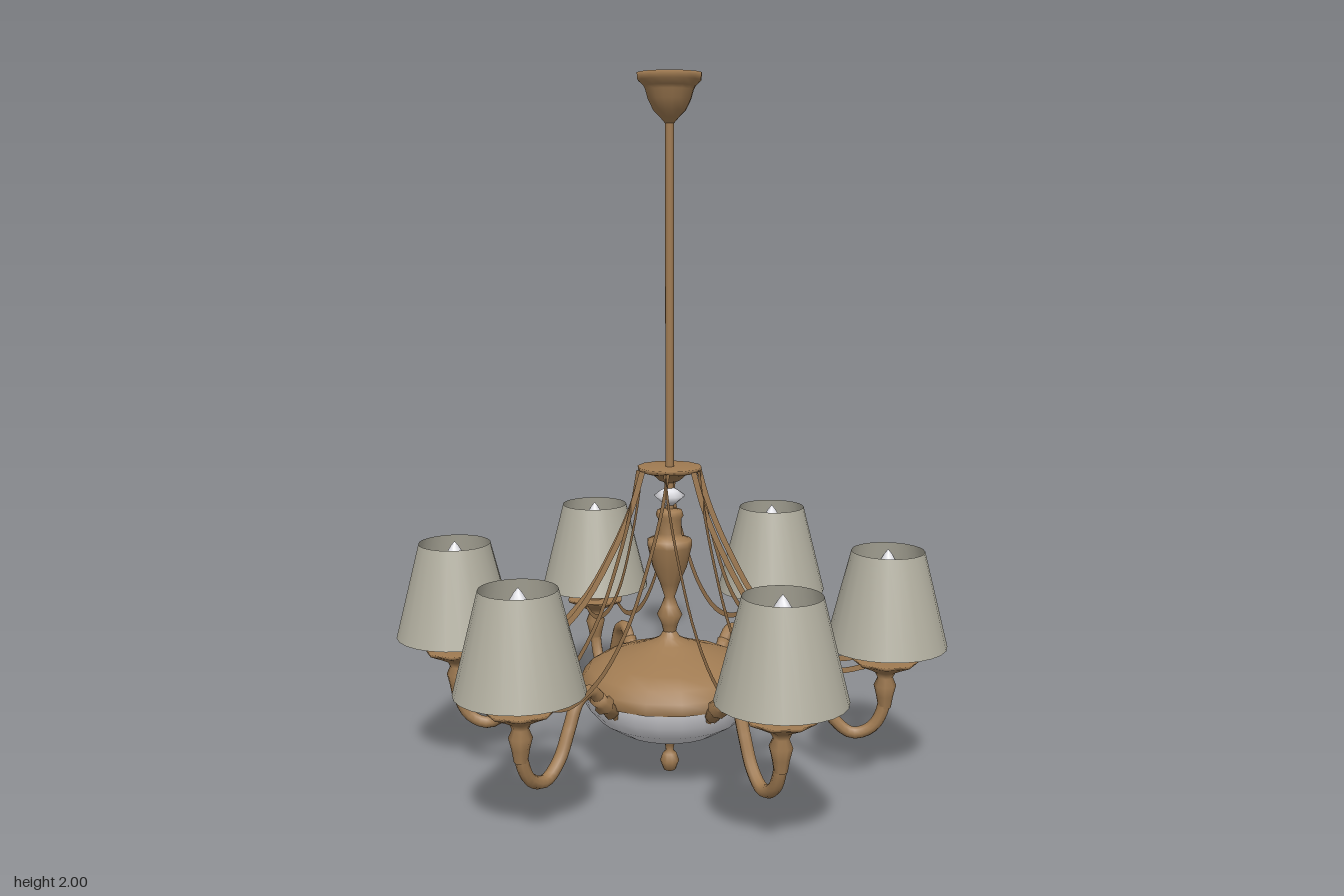
import * as THREE from 'three';

const mat = (name, color, side = THREE.FrontSide) => {
  const m = new THREE.MeshStandardMaterial({ color, side });
  m.name = name;
  return m;
};

export function createModel() {
  const bronze = mat('bronze', 0xa07b52);
  const bronzeThin = mat('bronze', 0xa07b52, THREE.DoubleSide);
  const fabric = mat('shade fabric', 0xb2afa0, THREE.DoubleSide);
  const glass = mat('white glass', 0xe0e0e5);

  const model = new THREE.Group();
  model.name = 'chandelier';
  const body = new THREE.Group();
  body.name = 'body';
  body.position.z = -0.015;
  model.add(body);

  const add = (parent, name, geometry, material) => {
    const mesh = new THREE.Mesh(geometry, material);
    mesh.name = name;
    parent.add(mesh);
    return mesh;
  };
  // profile: [radius, height] pairs from bottom to top
  const lathe = (profile, sides) =>
    new THREE.LatheGeometry(profile.map(([r, y]) => new THREE.Vector2(r, y)), sides);

  // Central column, from the lowest finial to the ceiling
  add(body, 'finial', lathe([[0, 0], [0.018, 0.008], [0.028, 0.035], [0.02, 0.058], [0.011, 0.066],
    [0.014, 0.085], [0.026, 0.1], [0.03, 0.12]], 10), bronze);
  add(body, 'glassBowl', lathe([[0, 0.115], [0.08, 0.122], [0.15, 0.142], [0.21, 0.18],
    [0.245, 0.22], [0.257, 0.265]], 24), glass);
  add(body, 'dome', lathe([[0.25, 0.258], [0.262, 0.262], [0.26, 0.295], [0.235, 0.325], [0.19, 0.35],
    [0.12, 0.373], [0.1, 0.38], [0.06, 0.395], [0.03, 0.41], [0.018, 0.43]], 16), bronze);
  add(body, 'vase', lathe([[0.018, 0.425], [0.024, 0.45], [0.037, 0.478], [0.024, 0.505], [0.015, 0.53],
    [0.028, 0.57], [0.05, 0.62], [0.064, 0.68], [0.064, 0.7], [0.038, 0.708], [0.034, 0.72],
    [0.034, 0.76], [0.04, 0.77], [0.036, 0.785], [0.012, 0.79]], 12), bronze);
  add(body, 'glassDisc', lathe([[0.012, 0.8], [0.025, 0.81], [0.045, 0.828], [0.025, 0.843], [0.012, 0.85]], 12), glass);
  add(body, 'wireCap', lathe([[0.012, 0.865], [0.03, 0.872], [0.05, 0.89], [0.09, 0.9], [0.092, 0.912],
    [0.012, 0.912]], 12), bronze);
  const rod = add(body, 'rod', new THREE.CylinderGeometry(0.012, 0.012, 1.1, 10), bronze);
  rod.position.y = 1.33;
  add(body, 'canopy', lathe([[0.012, 1.865], [0.025, 1.88], [0.045, 1.9], [0.06, 1.93], [0.067, 1.955],
    [0.072, 1.965], [0.088, 1.98], [0.09, 2], [0.078, 1.985], [0.05, 1.94], [0.012, 1.9]], 16), bronzeThin);

  // Shared arm parts, built along +x
  const armPath = new THREE.CatmullRomCurve3([[0.235, 0.24], [0.3, 0.3], [0.35, 0.343], [0.4, 0.325],
    [0.435, 0.26], [0.475, 0.185], [0.53, 0.145], [0.585, 0.165], [0.615, 0.22], [0.62, 0.3]]
    .map(([x, y]) => new THREE.Vector3(x, y, 0)));
  const armGeo = new THREE.TubeGeometry(armPath, 36, 0.018, 8);
  const collarGeo = lathe([[0, -0.045], [0.022, -0.045], [0.02, -0.015], [0.03, 0], [0.02, 0.015],
    [0.024, 0.04], [0, 0.045]], 8);
  const cupGeo = lathe([[0.018, 0.225], [0.024, 0.26], [0.032, 0.292], [0.022, 0.315], [0.03, 0.332],
    [0.055, 0.345], [0.092, 0.362], [0.094, 0.37], [0.025, 0.366]], 8);
  const candleGeo = lathe([[0.025, 0.36], [0.025, 0.605], [0.037, 0.622], [0.037, 0.632], [0, 0.632]], 10);
  const bulbGeo = lathe([[0.034, 0.63], [0.03, 0.645], [0.012, 0.675], [0, 0.69]], 10);
  const shadeGeo = lathe([[0.172, 0.412], [0.103, 0.685]], 24);

  // Flat stay: an upright ribbon sweeping from the cap to the cup
  const stayGeo = (side) => {
    const curve = new THREE.CatmullRomCurve3([[0.075, 0.905], [0.105, 0.8], [0.165, 0.66], [0.25, 0.51],
      [0.35, 0.405], [0.44, 0.358], [0.5, 0.348], [0.56, 0.362]]
      .map(([x, y]) => new THREE.Vector3(x, y, side * 0.054)));
    const n = 24, pos = [], index = [];
    for (let i = 0; i <= n; i++) {
      const p = curve.getPoint(i / n), t = curve.getTangent(i / n);
      for (const s of [-0.008, 0.008]) pos.push(p.x - t.y * s, p.y + t.x * s, p.z);
      const a = i * 2;
      if (i < n) index.push(a, a + 2, a + 1, a + 1, a + 2, a + 3);
    }
    const g = new THREE.BufferGeometry();
    g.setAttribute('position', new THREE.Float32BufferAttribute(pos, 3));
    g.setIndex(index);
    g.computeVertexNormals();
    return g;
  };
  const stays = [stayGeo(-1), stayGeo(1)];

  // Six slightly uneven arms; each pair gives the direction x, z
  [[0.615, -0.055], [0.31, 0.54], [-0.27, 0.56], [-0.62, -0.01], [-0.36, -0.505], [0.305, -0.54]]
    .forEach(([x, z]) => {
      const branch = new THREE.Group();
      branch.name = 'lampBranch';
      branch.rotation.y = Math.atan2(-z, x);
      body.add(branch);
      add(branch, 'arm', armGeo, bronze);
      const collar = add(branch, 'armCollar', collarGeo, bronze);
      collar.position.set(0.29, 0.285, 0);
      collar.rotation.z = -0.8;
      stays.forEach((g) => add(branch, 'stay', g, bronzeThin));
      const lamp = new THREE.Group();
      lamp.name = 'lamp';
      lamp.position.x = 0.62;
      branch.add(lamp);
      add(lamp, 'cup', cupGeo, bronze);
      add(lamp, 'candle', candleGeo, bronze);
      add(lamp, 'bulb', bulbGeo, glass);
      add(lamp, 'shade', shadeGeo, fabric);
    });

  return model;
}
